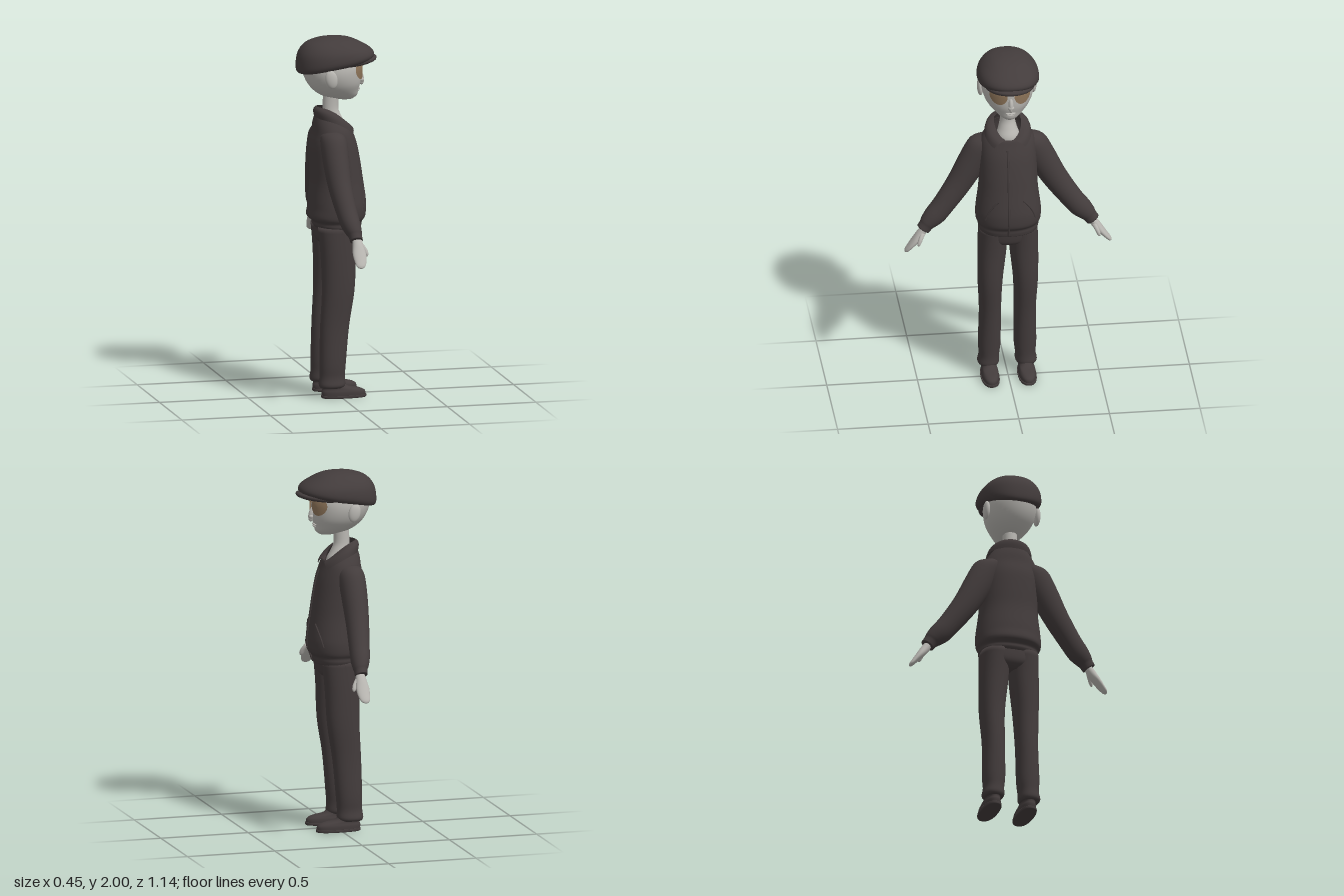
import * as THREE from 'three';

const mat = (name, color, side = THREE.FrontSide) => {
  const m = new THREE.MeshStandardMaterial({ color, side });
  m.name = name;
  return m;
};

// Catmull-Rom blend of station rows [x, y, z, a, b, tilt, dip]
function sample(st, t) {
  const n = st.length - 1, i = Math.min(Math.floor(t * n), n - 1), u = t * n - i;
  const g = (k, j) => st[Math.max(0, Math.min(n, k))][j] || 0;
  return [0, 1, 2, 3, 4, 5, 6].map((j) => {
    const p0 = g(i - 1, j), p1 = g(i, j), p2 = g(i + 1, j), p3 = g(i + 2, j);
    return p1 + 0.5 * u * (p2 - p0 + u * (2 * p0 - 5 * p1 + 4 * p2 - p3 + u * (3 * (p1 - p2) + p3 - p0)));
  });
}

// front (+x) surface of an upright loft at a given height and side offset
function frontX(st, y, z, n) {
  let lo = 0, hi = 1;
  for (let i = 0; i < 30; i++) {
    const m = (lo + hi) / 2;
    if (sample(st, m)[1] < y) lo = m; else hi = m;
  }
  const s = sample(st, lo);
  return s[0] + s[3] * Math.pow(Math.max(0, 1 - Math.pow(Math.abs(z - s[2]) / s[4], n)), 1 / n);
}

// smooth skin over elliptical rings; ring axes are x and v
function loft(st, { v = [0, 0, 1], n = 2, seg = 36, steps = 4, openTop = false } = {}) {
  const pos = [], idx = [], rows = (st.length - 1) * steps;
  const pw = (c) => Math.sign(c) * Math.pow(Math.abs(c), 2 / n);
  for (let r = 0; r <= rows; r++) {
    const [x, y, z, a, b, tilt, dip] = sample(st, r / rows);
    for (let k = 0; k < seg; k++) {
      const th = (k / seg) * Math.PI * 2, c = Math.cos(th), w = b * pw(Math.sin(th));
      pos.push(x + a * pw(c), y + w * v[1] + tilt * c - dip * Math.pow((1 + c) / 2, 3), z + w * v[2]);
    }
  }
  const f = st[0], l = st[st.length - 1];
  const flip = (l[1] - f[1]) * v[2] - (l[2] - f[2]) * v[1] < 0;
  const tri = (a, b, c) => (flip ? idx.push(a, c, b) : idx.push(a, b, c));
  for (let r = 0; r < rows; r++) for (let k = 0; k < seg; k++) {
    const a = r * seg + k, b = r * seg + ((k + 1) % seg);
    tri(a, a + seg, b);
    tri(b, a + seg, b + seg);
  }
  // end caps
  for (const r of openTop ? [0] : [0, rows]) {
    const centre = [0, 0, 0], ci = pos.length / 3;
    for (let k = 0; k < seg; k++) for (let j = 0; j < 3; j++) centre[j] += pos[(r * seg + k) * 3 + j] / seg;
    pos.push(...centre);
    for (let k = 0; k < seg; k++) {
      const a = r * seg + k, b = r * seg + ((k + 1) % seg);
      if (r) tri(a, ci, b); else tri(a, b, ci);
    }
  }
  return build(pos, idx);
}

function build(pos, idx) {
  const g = new THREE.BufferGeometry();
  g.setAttribute('position', new THREE.Float32BufferAttribute(pos, 3));
  g.setIndex(idx);
  g.computeVertexNormals();
  return g;
}

// folded collar sheet, open at the front, with pointed corners
function collarGeometry() {
  const pos = [], idx = [], cols = 48, rows = 5;
  for (let r = 0; r <= rows; r++) for (let c = 0; c <= cols; c++) {
    const t = r / rows, gap = 0.3 + 0.42 * t, lift = 0.012 * Math.sin(Math.PI * t);
    const th = gap + (c / cols) * 2 * (Math.PI - gap), f = Math.pow((1 + Math.cos(th)) / 2, 2);
    pos.push(-0.025 + 0.015 * t + (0.085 + 0.027 * t + lift) * Math.cos(th),
      1.61 - 0.06 * t - 0.11 * f + lift,
      (0.075 + 0.055 * t + lift) * Math.sin(th));
  }
  for (let r = 0; r < rows; r++) for (let c = 0; c < cols; c++) {
    const a = r * (cols + 1) + c, d = a + cols + 1;
    idx.push(a, a + 1, d, a + 1, d + 1, d);
  }
  return build(pos, idx);
}

export function createModel() {
  const model = new THREE.Group();
  const cloth = mat('dark cloth', 0x433c3c, THREE.DoubleSide);
  const skin = mat('pale skin', 0xb8b6b1);
  const lensMat = mat('tan lens', 0x8c7358, THREE.DoubleSide);
  const add = (name, geo, m, parent = model) => {
    const mesh = new THREE.Mesh(geo, m);
    mesh.name = name;
    parent.add(mesh);
    return mesh;
  };
  const blob = (name, p, s, m, tilt = 0) => {
    const mesh = add(name, new THREE.SphereGeometry(1, 24, 16), m);
    mesh.position.set(...p);
    mesh.scale.set(...s);
    mesh.rotation.z = tilt;
  };
  const seam = (name, pts, r) =>
    add(name, new THREE.TubeGeometry(new THREE.CatmullRomCurve3(pts.map((p) => new THREE.Vector3(...p))), 32, r, 6), cloth);

  // head and neck
  const head = [
    [0.05, 1.648, 0, 0.04, 0.03], [0.02, 1.668, 0, 0.095, 0.062], [-0.003, 1.7, 0, 0.124, 0.098],
    [-0.015, 1.74, 0, 0.147, 0.126], [-0.025, 1.79, 0, 0.16, 0.142], [-0.03, 1.84, 0, 0.163, 0.142],
    [-0.03, 1.9, 0, 0.14, 0.125]];
  add('head', loft(head), skin);
  add('neck', loft([[-0.01, 1.42, 0, 0.055, 0.06], [-0.01, 1.5, 0, 0.06, 0.065], [-0.025, 1.55, 0, 0.052, 0.05],
    [-0.035, 1.6, 0, 0.044, 0.04], [-0.03, 1.68, 0, 0.045, 0.04]]), skin);
  blob('nose', [0.133, 1.765, 0], [0.02, 0.045, 0.014], skin, 0.25);
  blob('noseTip', [0.14, 1.75, 0], [0.016, 0.014, 0.018], skin);
  blob('upperLip', [0.12, 1.706, 0], [0.012, 0.006, 0.028], skin);
  blob('lowerLip', [0.117, 1.695, 0], [0.012, 0.006, 0.022], skin);

  // flat cap
  add('capCrown', loft([
    [-0.02, 1.842, 0, 0.17, 0.14, 0.035], [-0.01, 1.845, 0, 0.207, 0.156, 0.04], [-0.01, 1.872, 0, 0.215, 0.17, 0.035],
    [-0.015, 1.92, 0, 0.2, 0.161, 0.012], [-0.02, 1.96, 0, 0.158, 0.128], [-0.02, 1.986, 0, 0.1, 0.085],
    [-0.02, 1.998, 0, 0.03, 0.03]], { n: 2.3, seg: 48 }), cloth);
  add('capPeak', loft([[0.07, 1.845, 0, 0.135, 0.12, 0.015], [0.07, 1.854, 0, 0.15, 0.135, 0.015],
    [0.07, 1.868, 0, 0.15, 0.135, 0.015], [0.07, 1.876, 0, 0.13, 0.12, 0.015]], { seg: 48 }), cloth);

  // jacket
  const jacket = [
    [0.005, 0.935, 0, 0.122, 0.158], [0, 0.955, 0, 0.132, 0.166], [0, 0.975, 0, 0.135, 0.166],
    [-0.005, 1.0, 0, 0.158, 0.178], [0, 1.05, 0, 0.158, 0.18], [0, 1.1, 0, 0.155, 0.175],
    [-0.003, 1.2, 0, 0.143, 0.163], [-0.012, 1.3, 0, 0.137, 0.16], [-0.022, 1.4, 0, 0.127, 0.158],
    [-0.027, 1.47, 0, 0.108, 0.15], [-0.03, 1.52, 0, 0.1, 0.126, 0, 0.02], [-0.03, 1.56, 0, 0.09, 0.1, 0, 0.06],
    [-0.025, 1.59, 0, 0.082, 0.075, 0, 0.12]];
  add('jacketBody', loft(jacket, { n: 2.2, seg: 56, openTop: true }), cloth);
  add('jacketCollar', collarGeometry(), cloth);
  const onJacket = (y, z) => [frontX(jacket, y, z, 2.2), y, z];
  seam('jacketFrontSeam', Array.from({ length: 14 }, (_, i) => onJacket(0.945 + i * 0.039, 0.012)), 0.006);

  // trouser seat
  add('trouserSeat', loft([[-0.012, 0.845, 0, 0.07, 0.06], [-0.012, 0.865, 0, 0.098, 0.13],
    [-0.012, 0.9, 0, 0.11, 0.162], [-0.005, 0.98, 0, 0.115, 0.158]], { n: 2.3 }), cloth);

  // paired parts: the model faces +x, so its left is -z
  for (const s of [-1, 1]) {
    const side = s < 0 ? 'left' : 'right';
    const put = (st) => st.map(([x, y, z, ...r]) => [x, y, z * s, ...r]);
    const armAxis = { v: [0, 0.57, 0.82 * s], seg: 28 };

    blob(side + 'Ear', [-0.065, 1.785, 0.146 * s], [0.034, 0.052, 0.018], skin, 0.2);

    // curved lens lying just off the face
    const lens = new THREE.RingGeometry(0.001, 1, 40, 5), p = lens.attributes.position;
    for (let i = 0; i < p.count; i++) {
      const u = p.getX(i), w = p.getY(i);
      const z = (0.066 + 0.047 * u * (1 + 0.08 * w)) * s, y = 1.815 + 0.05 * w;
      p.setXYZ(i, frontX(head, y, z, 2) + 0.008, y, z);
    }
    lens.computeVertexNormals();
    add(side + 'Lens', lens, lensMat);

    // sleeve with gathered cuff
    add(side + 'Sleeve', loft(put([
      [-0.05, 1.46, 0.09, 0.065, 0.055], [-0.05, 1.42, 0.14, 0.073, 0.08], [-0.05, 1.32, 0.197, 0.071, 0.08],
      [-0.045, 1.2, 0.265, 0.064, 0.071], [-0.03, 1.08, 0.35, 0.057, 0.062], [-0.02, 1.02, 0.4, 0.053, 0.06],
      [-0.012, 0.985, 0.435, 0.044, 0.049], [-0.008, 0.968, 0.45, 0.037, 0.041], [-0.005, 0.945, 0.467, 0.035, 0.039]]),
    armAxis), cloth);

    // mitten hand and thumb
    add(side + 'Hand', loft(put([
      [0, 0.96, 0.455, 0.024, 0.02], [0, 0.92, 0.482, 0.03, 0.024], [0, 0.88, 0.512, 0.037, 0.02],
      [0, 0.845, 0.54, 0.033, 0.015], [-0.002, 0.82, 0.56, 0.024, 0.011], [-0.003, 0.81, 0.568, 0.008, 0.004]]),
    armAxis), skin);
    add(side + 'Thumb', loft(put([
      [0.015, 0.93, 0.47, 0.014, 0.014], [0.035, 0.9, 0.486, 0.014, 0.012],
      [0.044, 0.875, 0.497, 0.011, 0.01], [0.046, 0.864, 0.502, 0.003, 0.003]]), armAxis), skin);

    // slanted pocket
    seam(side + 'PocketSeam', [[1.16, 0.07], [1.13, 0.095], [1.09, 0.12], [1.04, 0.138]]
      .map(([y, z]) => onJacket(y, z * s)), 0.005);

    // trouser leg with a soft fold above the hem
    add(side + 'TrouserLeg', loft(put([
      [-0.055, 0.058, 0.104, 0.062, 0.05], [-0.052, 0.075, 0.104, 0.073, 0.06], [-0.05, 0.12, 0.1, 0.07, 0.056],
      [-0.047, 0.2, 0.0985, 0.073, 0.062], [-0.035, 0.4, 0.096, 0.08, 0.06], [-0.015, 0.6, 0.0975, 0.09, 0.068],
      [-0.0125, 0.8, 0.0875, 0.098, 0.079], [-0.012, 0.95, 0.082, 0.112, 0.08]]), { n: 2.2 }), cloth);

    // shoe
    add(side + 'ShoeSole', loft(put([[0.015, 0, 0.102, 0.123, 0.048], [0.015, 0.004, 0.102, 0.126, 0.051],
      [0.015, 0.015, 0.102, 0.126, 0.051]]), { n: 2.4 }), cloth);
    add(side + 'ShoeUpper', loft(put([[0.014, 0.012, 0.102, 0.122, 0.047], [0.012, 0.034, 0.102, 0.122, 0.047],
      [0, 0.05, 0.102, 0.105, 0.042], [-0.035, 0.065, 0.102, 0.07, 0.04], [-0.05, 0.1, 0.102, 0.055, 0.04]]), { n: 2.3 }), cloth);
  }

  // bridge joining the lenses
  seam('glassesBridge', [[0.142, 1.835, -0.026], [0.148, 1.838, 0], [0.142, 1.835, 0.026]], 0.004).material = lensMat;
  return model;
}
